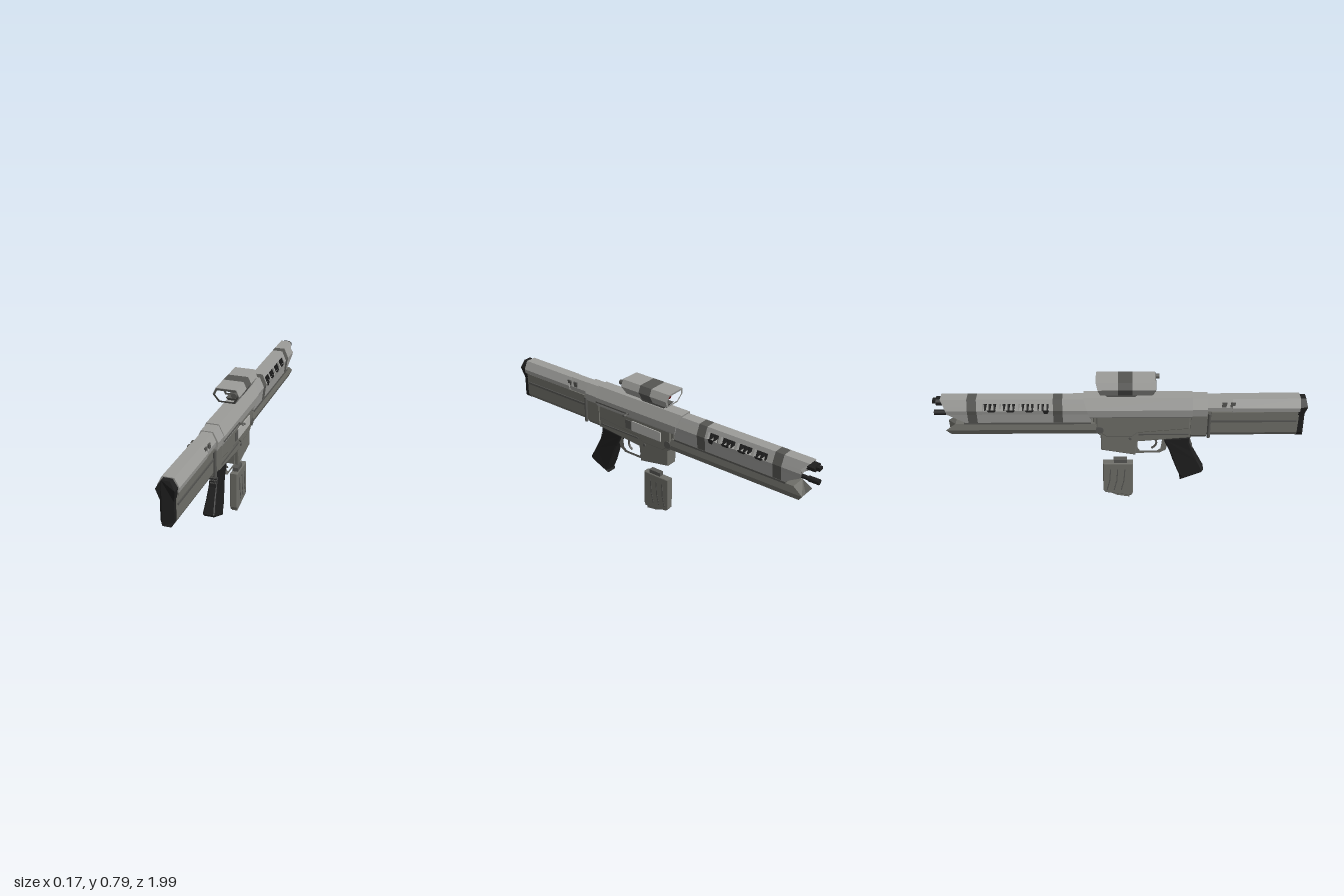
import * as THREE from 'three';

const mat = (name, color, side = THREE.FrontSide) => {
  const m = new THREE.MeshStandardMaterial({ color, side });
  m.name = name;
  return m;
};

export function createModel() {
  const light = mat('light grey', 0x9c9c99);
  const mid = mat('mid grey', 0x6e6e68);
  const dark = mat('dark grey', 0x565653);
  const black = mat('black', 0x1e1e1e);
  const red = mat('lens red', 0x5a1010, THREE.DoubleSide);
  const pale = mat('pale bolt', 0xb4b4b0);

  const model = new THREE.Group();
  const body = new THREE.Group();
  body.name = 'rifle';
  body.position.x = -0.012;
  model.add(body);

  const add = (name, geo, material) => {
    const m = new THREE.Mesh(geo, material);
    m.name = name;
    body.add(m);
    return m;
  };
  const vecs = pts => pts.map(p => new THREE.Vector2(p[0], p[1]));
  const mirror = half => [...half, ...half.slice().reverse().map(([x, y]) => [-x, y])];
  const lerpTable = (table, y) => {
    for (let i = 1; i < table.length; i++) {
      const [y0, a] = table[i - 1], [y1, b] = table[i];
      if (y >= y1) return a + (b - a) * Math.min(1, (y - y0) / (y1 - y0));
    }
    return table[table.length - 1][1];
  };

  // Symmetric section (right half, top to bottom) drawn along z; the ends may slant by height
  function prism(name, half, z0, z1, material, { hole, front, back } = {}) {
    const shape = new THREE.Shape(vecs(mirror(half)));
    if (hole) shape.holes.push(new THREE.Path(vecs(mirror(hole))));
    const g = new THREE.ExtrudeGeometry(shape, { depth: z1 - z0, bevelEnabled: false });
    g.translate(0, 0, z0);
    const p = g.attributes.position;
    for (let i = 0; i < p.count; i++) {
      const atFront = p.getZ(i) < (z0 + z1) / 2;
      const table = atFront ? front : back;
      if (table) p.setZ(i, lerpTable(table, p.getY(i)));
    }
    g.computeVertexNormals();
    return add(name, g, material);
  }
  // Side outline (z, y) given thickness across x
  function slab(name, pts, halfWidth, material, { hole, bevel = 0, x = 0, narrow } = {}) {
    const shape = new THREE.Shape(vecs(pts));
    if (hole) shape.holes.push(new THREE.Path(vecs(hole)));
    const depth = 2 * (halfWidth - bevel);
    const g = new THREE.ExtrudeGeometry(shape, {
      depth, bevelEnabled: bevel > 0, bevelSize: bevel, bevelThickness: bevel, bevelOffset: -bevel, bevelSegments: 2,
    });
    g.translate(0, 0, -depth / 2).rotateY(-Math.PI / 2).translate(x, 0, 0);
    if (narrow) {
      const p = g.attributes.position;
      for (let i = 0; i < p.count; i++) p.setX(i, p.getX(i) * narrow(p.getY(i)));
      g.computeVertexNormals();
    }
    return add(name, g, material);
  }
  const box = (name, w, h, d, x, y, z, material) =>
    add(name, new THREE.BoxGeometry(w, h, d).translate(x, y, z), material);
  const rod = (name, r, len, axis, x, y, z, material, n = 12) => {
    const g = new THREE.CylinderGeometry(r, r, len, n);
    if (axis === 'x') g.rotateZ(Math.PI / 2);
    if (axis === 'z') g.rotateX(Math.PI / 2);
    return add(name, g.translate(x, y, z), material);
  };

  // Butt pad and stock
  prism('buttPad', [[0.022, 0.667], [0.047, 0.625], [0.034, 0.56], [0.034, 0.46], [0.022, 0.435]], 0.955, 1, black,
    { back: [[0.667, 0.99], [0.625, 1], [0.56, 0.982], [0.46, 0.985], [0.435, 0.995]] });
  const stockTop = [[0.03, 0.671], [0.054, 0.625], [0.05, 0.6]];
  prism('stockCover', stockTop, 0.6, 0.96, light);
  prism('stockNeck', stockTop.map(([x, y]) => [x * 0.88, y]), 0.46, 0.6, light);
  prism('stockBody', [[0.036, 0.602], [0.036, 0.46], [0.026, 0.44]], 0.46, 0.96, mid);
  for (const s of [-1, 1]) {
    box('stockRail', 0.014, 0.016, 0.46, s * 0.038, 0.588, 0.72, mid);
    box('stockLowerRail', 0.01, 0.012, 0.46, s * 0.036, 0.535, 0.72, dark);
    rod('stockLatch', 0.009, 0.15, 'y', s * 0.044, 0.51, 0.482, dark, 8);
    for (const z of [0.555, 0.6])
      slab('stockVent', [[z - 0.012, 0.628], [z + 0.012, 0.628], [z + 0.016, 0.656], [z - 0.008, 0.656]], 0.004, dark, { x: s * 0.043 });
  }
  prism('collar', [[0.032, 0.676], [0.059, 0.62], [0.051, 0.575]], 0.385, 0.47, light);
  prism('collarBase', [[0.046, 0.576], [0.044, 0.45], [0.03, 0.428]], 0.385, 0.47, mid);

  // Receiver
  prism('upperReceiver', [[0.034, 0.682], [0.0625, 0.62], [0.056, 0.575], [0.05, 0.565]], -0.19, 0.39, light,
    { front: [[0.682, -0.19], [0.565, -0.155]] });
  slab('lowerReceiver', [[0.39, 0.57], [0.39, 0.425], [0.1, 0.4], [0.09, 0.31], [-0.1, 0.345], [-0.1, 0.44], [-0.14, 0.47], [-0.14, 0.57]],
    0.036, mid, { bevel: 0.006 });
  slab('receiverPlate', [[0.38, 0.57], [0.38, 0.49], [0.1, 0.465], [0.07, 0.44], [-0.07, 0.44], [-0.12, 0.48], [-0.12, 0.57]], 0.046, mid, { bevel: 0.005 });
  slab('boltCover', [[0.14, 0.49], [-0.06, 0.49], [-0.06, 0.545], [0.14, 0.55]], 0.004, pale, { x: 0.047 });
  slab('ejectionLatch', [[0.185, 0.495], [0.145, 0.495], [0.145, 0.545], [0.185, 0.545]], 0.004, dark, { x: 0.047 });
  box('handleSlot', 0.006, 0.008, 0.24, 0.059, 0.592, 0.27, dark);
  rod('chargingHandle', 0.006, 0.04, 'x', 0.075, 0.592, 0.16, dark, 8);
  add('chargingKnob', new THREE.SphereGeometry(0.014, 12, 8).scale(0.8, 0.4, 1).translate(0.084, 0.592, 0.16), dark);
  rod('pivotPin', 0.022, 0.1, 'x', 0, 0.485, -0.105, dark, 10);
  rod('magazineButton', 0.008, 0.084, 'x', 0, 0.422, 0.06, dark, 8);
  for (const s of [-1, 1]) box('lowerRidge', 0.006, 0.008, 0.27, s * 0.037, 0.45, 0.24, dark).rotation.x = 0.0;

  // Trigger group
  slab('triggerGuard', [[0.28, 0.42], [0.255, 0.33], [0.22, 0.31], [0.09, 0.31], [0.09, 0.42]], 0.015, mid,
    { hole: [[0.235, 0.4], [0.227, 0.34], [0.205, 0.324], [0.115, 0.324], [0.1, 0.35], [0.1, 0.4]] });
  const pull = new THREE.CatmullRomCurve3([[0.19, 0.41], [0.205, 0.37], [0.195, 0.345], [0.178, 0.333]].map(([z, y]) => new THREE.Vector3(0, y, z)));
  add('trigger', new THREE.TubeGeometry(pull, 10, 0.006, 6), dark);

  // Grip, flared toward the bottom
  slab('grip', [[0.385, 0.42], [0.24, 0.41], [0.252, 0.38], [0.275, 0.33], [0.295, 0.27], [0.322, 0.2], [0.345, 0.15], [0.34, 0.135], [0.46, 0.185], [0.47, 0.2], [0.435, 0.27], [0.405, 0.33], [0.385, 0.38]],
    0.036, black, { bevel: 0.01, narrow: y => 1 - 0.32 * THREE.MathUtils.smoothstep(y, 0.17, 0.32) });
  for (let r = 0; r < 5; r++) for (let c = -2; c <= 2; c++)
    box('gripStud', 0.004, 0.006, 0.008, c * 0.007, 0.35 + r * 0.013, 0.398 - r * 0.004, dark);

  // Loose magazine below the well
  slab('magazine', [[0.078, 0.24], [0.078, 0.03], [0.07, 0.012], [-0.078, 0.035], [-0.09, 0.05], [-0.09, 0.24]], 0.021, mid, { bevel: 0.005 });
  slab('magazineFloor', [[0.06, 0.03], [0.06, 0], [-0.01, 0.012], [-0.07, 0.04]], 0.016, mid);
  slab('magazineLips', [[0.045, 0.262], [0.045, 0.235], [-0.03, 0.235], [-0.03, 0.262]], 0.015, dark);
  for (const s of [-1, 1]) for (let i = 0; i < 3; i++) {
    const z = 0.035 - i * 0.04;
    slab('magazineRib', [[z, 0.2], [z - 0.006, 0.2], [z - 0.011, 0.12], [z - 0.026, 0.055], [z - 0.02, 0.055], [z - 0.005, 0.12]], 0.002, dark, { x: s * 0.021 });
  }

  // Vented handguard, cut into coloured lengths
  const guard = [[0.03, 0.672], [0.0397, 0.65], [0.055, 0.615], [0.05, 0.59], [0.043, 0.53]];
  const guardLow = guard.slice(2), guardCap = guard.slice(0, 2);
  prism('handguardRear', guard, -0.3, -0.15, light);
  prism('handguardBand', guard, -0.35, -0.3, dark);
  prism('handguardFrontBand', guard, -0.805, -0.755, dark);
  prism('handguardLower', guardLow, -0.72, -0.35, light);
  prism('handguardRoof', guardCap, -0.72, -0.35, light);
  prism('handguardFront', guard, -0.755, -0.72, light);
  const ventMid = guard.slice(1, 3);
  [-0.35, -0.43, -0.53, -0.63].forEach((z, i) => {
    prism('ventPillar', ventMid, z - 0.014, z, light);
    for (let k = 0; k < 3; k++)
      prism('ventTooth', ventMid.map(([x, y]) => [x - 0.003, y]), z - 0.034 - k * 0.025, z - 0.026 - k * 0.025, black);
    for (const s of [-1, 1]) {
      const w = i ? 0.05 : 0.035;
      slab('ventNotch', [[z - 0.02, 0.618], [z - 0.02 - w, 0.618], [z - 0.012 - w, 0.608 - (i ? 0 : 0.012)], [z - 0.03, 0.608 - (i ? 0 : 0.012)]], 0.002, black, { x: s * 0.054 });
    }
  });
  prism('handguardNose', [[0.03, 0.672], [0.047, 0.634], [0.055, 0.615], [0.05, 0.59], [0.043, 0.53]], -0.93, -0.805, light, {
    front: [[0.672, -0.945], [0.634, -0.905], [0.6, -0.93], [0.53, -0.815]],
    hole: [[0.024, 0.664], [0.045, 0.615], [0.035, 0.54]],
  });
  prism('underGuard', [[0.044, 0.528], [0.05, 0.49], [0.034, 0.455]], -0.93, -0.11, mid, {
    front: [[0.528, -0.875], [0.49, -0.93], [0.455, -0.905]],
    back: [[0.528, -0.13], [0.455, -0.11]],
  });
  prism('guardSeam', [[0.046, 0.534], [0.046, 0.524]], -0.83, -0.15, dark);

  // Muzzle
  prism('upperMuzzle', [[0.018, 0.666], [0.03, 0.655], [0.03, 0.64], [0.018, 0.63]], -0.97, -0.8, black);
  box('muzzleTip', 0.03, 0.018, 0.03, 0, 0.648, -0.975, black);
  rod('lowerBarrel', 0.011, 0.2, 'z', 0, 0.573, -0.88, black);
  rod('barrelSleeve', 0.015, 0.06, 'z', 0, 0.573, -0.96, black);

  // Open sight tube with mount
  const hood = [[0.056, 0.789], [0.073, 0.752], [0.046, 0.705]];
  const bore = [[0.048, 0.777], [0.059, 0.752], [0.038, 0.716]];
  prism('sightRear', hood, 0.07, 0.19, light, { hole: bore, back: [[0.789, 0.19], [0.752, 0.19], [0.705, 0.175]] });
  prism('sightBand', hood, -0.005, 0.07, dark, { hole: bore });
  prism('sightFront', hood, -0.12, -0.005, light, { hole: bore, front: [[0.789, -0.122], [0.705, -0.1]] });
  prism('sightRim', hood.map(([x, y]) => [x * 0.96, 0.748 + (y - 0.748) * 0.96]), 0.172, 0.193, dark, { hole: bore, back: [[0.789, 0.193], [0.752, 0.193], [0.705, 0.178]] });
  slab('sightMount', [[0.12, 0.71], [0.08, 0.68], [-0.06, 0.68], [-0.09, 0.71]], 0.026, dark);
  const lens = new THREE.Shape(vecs([[-0.059, 0.752], [-0.048, 0.777], [0.01, 0.777], [-0.043, 0.763], [-0.043, 0.738], [0.015, 0.716], [-0.038, 0.716]]));
  add('lensEdge', new THREE.ShapeGeometry(lens).translate(0, 0, -0.06), red);
  rod('sightEmitter', 0.01, 0.05, 'z', 0.043, 0.755, 0.06, black, 8);
  rod('sightKnob', 0.014, 0.03, 'z', 0.05, 0.765, 0.198, dark, 10);

  return model;
}
